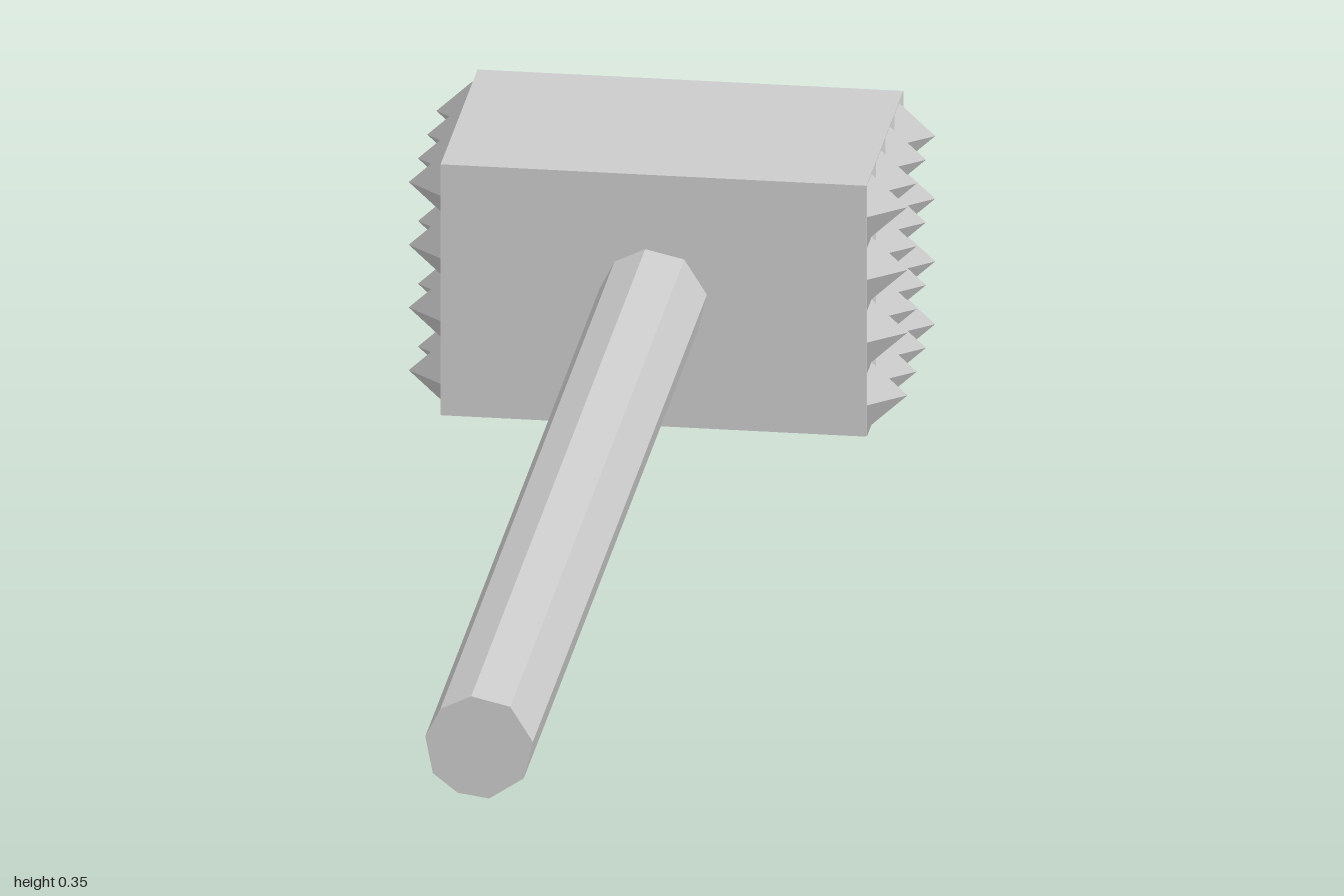
import * as THREE from 'three';

const HEAD = { w: 0.566, h: 0.354, d: 0.35, z: -0.825 };
const SPIKE = 0.048;
const CELLS = 4;

// Grid of pointed studs covering one striking face; side is +1 (left) or -1 (right)
function studGeometry(side) {
  const pos = [], nor = [];
  const hy = HEAD.h / CELLS / 2, hz = HEAD.d / CELLS / 2;
  for (let i = 0; i < CELLS; i++) for (let j = 0; j < CELLS; j++) {
    const y = (2 * i + 1) * hy - HEAD.h / 2;
    const z = (2 * j + 1) * hz - HEAD.d / 2;
    // four facets per stud, with ridges running along y and z from the tip
    for (const sy of [-1, 1]) for (const sz of [-1, 1]) {
      const tip = [side * SPIKE, y, z];
      const a = [0, y + sy * hy, z];
      const b = [0, y, z + sz * hz];
      const c = [0, y + sy * hy, z + sz * hz];
      const tris = side * sy * sz > 0 ? [tip, a, b, a, c, b] : [tip, b, a, a, b, c];
      const n = new THREE.Vector3(side, sy * SPIKE / (2 * hy), sz * SPIKE / (2 * hz)).normalize();
      for (const p of tris) {
        pos.push(...p);
        nor.push(n.x, n.y, n.z);
      }
    }
  }
  const g = new THREE.BufferGeometry();
  g.setAttribute('position', new THREE.Float32BufferAttribute(pos, 3));
  g.setAttribute('normal', new THREE.Float32BufferAttribute(nor, 3));
  return g;
}

export function createModel() {
  const model = new THREE.Group();
  const material = new THREE.MeshStandardMaterial({ color: 0xcccccc });
  const add = (name, geometry, parent) => {
    const mesh = new THREE.Mesh(geometry, material);
    mesh.name = name;
    parent.add(mesh);
    return mesh;
  };

  // Mallet head with studs on both ends
  const head = new THREE.Group();
  head.name = 'head';
  head.position.set(-0.001, HEAD.h / 2, HEAD.z);
  model.add(head);
  add('headBlock', new THREE.BoxGeometry(HEAD.w, HEAD.h, HEAD.d), head);
  for (const side of [1, -1]) {
    const studs = add(side > 0 ? 'leftStuds' : 'rightStuds', studGeometry(side), head);
    studs.position.x = side * (HEAD.w / 2 + 0.0005);
  }

  // Slightly irregular nine-sided handle
  const outline = [
    [-0.012, 0.249], [-0.053, 0.229], [-0.073, 0.189], [-0.063, 0.138], [-0.03, 0.112],
    [0.012, 0.106], [0.058, 0.137], [0.07, 0.189], [0.04, 0.237],
  ].map(([x, y]) => new THREE.Vector2(x, y));
  const handle = add('handle', new THREE.ExtrudeGeometry(new THREE.Shape(outline),
    { depth: 1.66, bevelEnabled: false }), model);
  handle.position.z = -0.66;

  return model;
}
